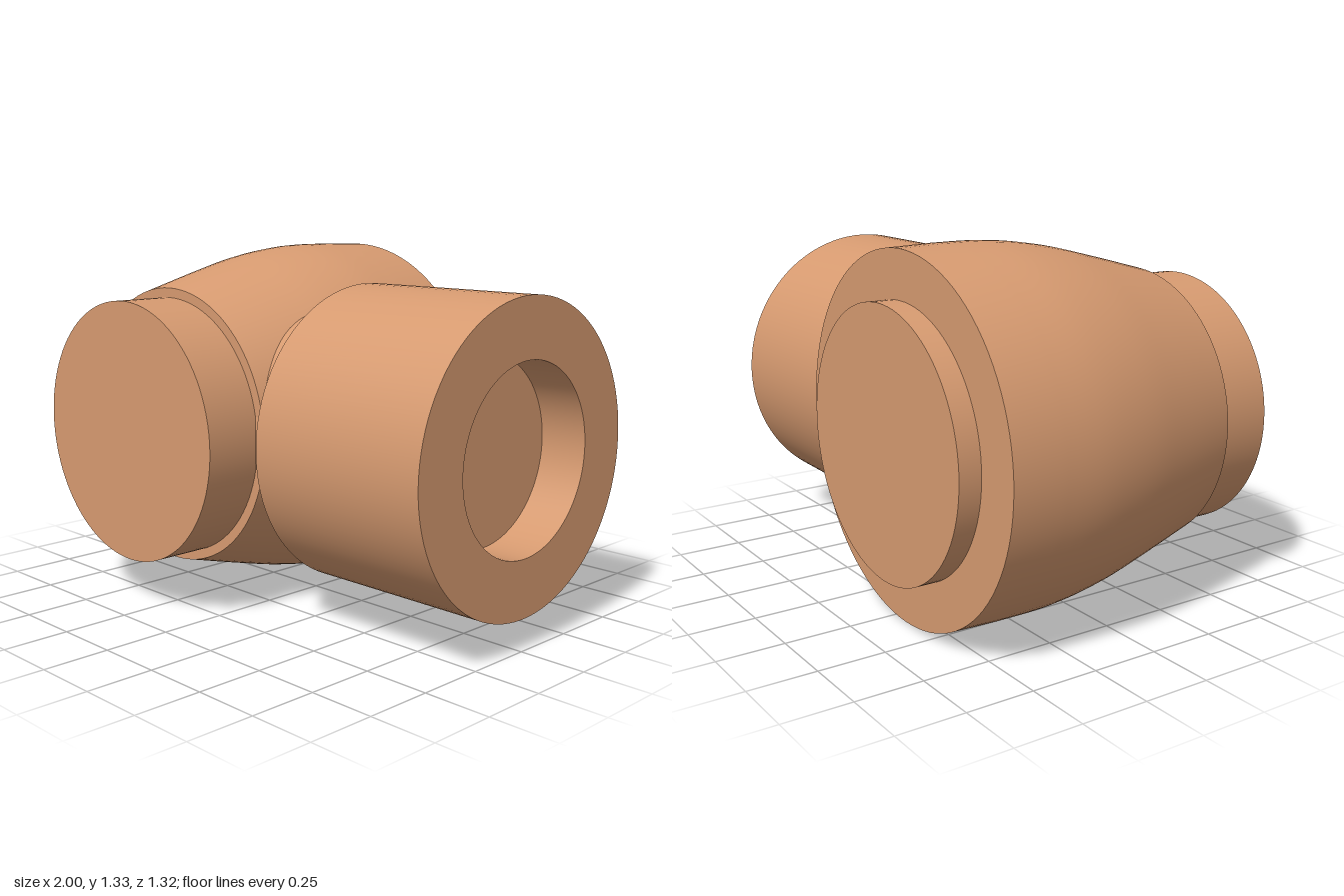
import * as THREE from 'three';
import { toCreasedNormals } from 'three/addons/utils/BufferGeometryUtils.js';

const AXIS_Y = 0.667;
const BODY_X = -0.335;
const material = new THREE.MeshStandardMaterial({ color: 0xd69a70 });

// Solid of revolution from [radius, position along axis] pairs
function turned(name, profile, segments = 96) {
  const points = profile.map(([r, h]) => new THREE.Vector2(r, h));
  const geometry = toCreasedNormals(new THREE.LatheGeometry(points, segments), 0.45);
  const mesh = new THREE.Mesh(geometry, material);
  mesh.name = name;
  return mesh;
}

export function createModel() {
  const group = new THREE.Group();
  group.name = 'pipeFitting';

  // Bulging body, tapering towards the front
  const bulge = new THREE.SplineCurve([
    [0.665, -0.4], [0.662, -0.2], [0.635, 0], [0.587, 0.2], [0.523, 0.44],
  ].map(([r, z]) => new THREE.Vector2(r, z))).getPoints(20).map((p) => [p.x, p.y]);
  const body = turned('body', [[0, -0.575], [0.66, -0.575], ...bulge, [0, 0.44]]);
  body.rotation.x = Math.PI / 2;
  body.position.set(BODY_X, AXIS_Y, 0);
  group.add(body);

  // Round plug showing at both ends of the body
  const plug = turned('endPlug', [[0, -0.658], [0.487, -0.658], [0.487, 0.658], [0, 0.658]]);
  plug.rotation.x = Math.PI / 2;
  plug.position.set(BODY_X, AXIS_Y, 0);
  group.add(plug);

  // Side branch: neck, chamfer, sleeve and blind bore
  const branch = turned('sideBranch', [
    [0, 0], [0.45, 0], [0.45, 0.17], [0.55, 0.267], [0.55, 1],
    [0.337, 1], [0.337, 0.82], [0, 0.82],
  ]);
  branch.rotation.z = -Math.PI / 2;
  branch.position.y = AXIS_Y;
  group.add(branch);

  // Round-bottomed stop tab between body and branch
  const tabShape = new THREE.Shape();
  tabShape.moveTo(0.27, 0.62);
  tabShape.lineTo(0.15, 0.62);
  tabShape.lineTo(0.15, 0.26);
  tabShape.absarc(0.21, 0.265, 0.06, Math.PI, Math.PI * 2, false);
  tabShape.closePath();
  const tab = new THREE.Mesh(
    toCreasedNormals(new THREE.ExtrudeGeometry(tabShape, {
      depth: 0.41, bevelEnabled: false, curveSegments: 16,
    }), 0.45), material);
  tab.name = 'stopTab';
  tab.position.z = -0.51;
  group.add(tab);

  return group;
}
